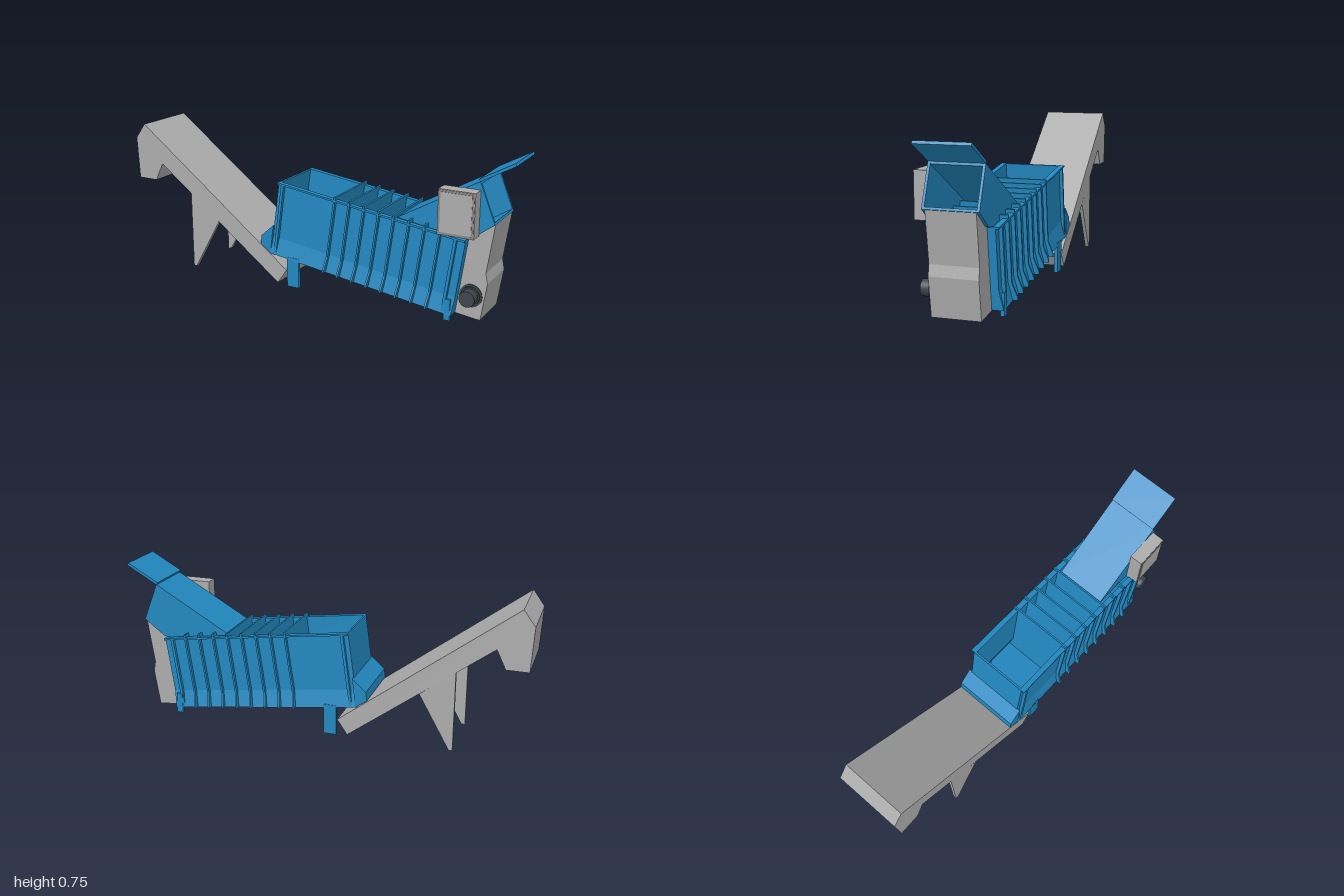
import * as THREE from 'three';

const mat = (name, color) => {
  const m = new THREE.MeshStandardMaterial({ color, side: THREE.DoubleSide });
  m.name = name;
  return m;
};

export function createModel() {
  const blue = mat('blue paint', 0x2288c0);
  const grey = mat('light grey', 0xacacac);
  const dark = mat('dark motor grey', 0x3c464c);
  const trim = mat('warm grey trim', 0x8c8480);
  const root = new THREE.Group();
  root.name = 'hopperConveyor';

  const add = (parent, name, geo, material) => {
    const m = new THREE.Mesh(geo, material);
    m.name = name;
    parent.add(m);
    return m;
  };
  const outline = (pts) => new THREE.Shape(pts.map(([x, y]) => new THREE.Vector2(x, y)));
  const extrude = (pts, depth) =>
    new THREE.ExtrudeGeometry(outline(pts), { depth, bevelEnabled: false });
  // side profile (x, y) extruded from z0 to z1
  const side = (parent, name, pts, z0, z1, material) =>
    add(parent, name, extrude(pts, z1 - z0).translate(0, 0, z0), material);
  // cross-section (z, y), symmetric about z = 0, extruded from x0 to x1
  const section = (parent, name, pts, x0, x1, material) =>
    add(parent, name, extrude(pts, x1 - x0).rotateY(Math.PI / 2).translate(x0, 0, 0), material);
  const box = (parent, name, x0, x1, y0, y1, z0, z1, material) =>
    add(parent, name, new THREE.BoxGeometry(x1 - x0, y1 - y0, z1 - z0)
      .translate((x0 + x1) / 2, (y0 + y1) / 2, (z0 + z1) / 2), material);
  // completes a right-hand half section with its mirror image
  const mirrored = (half) => [...half, ...half.map(([z, y]) => [-z, y]).reverse()];

  // ---- discharge conveyor ----
  const conveyor = new THREE.Group();
  conveyor.name = 'conveyor';
  root.add(conveyor);
  side(conveyor, 'conveyorBelt',
    [[-0.155, 0.007], [-0.105, 0.08], [-0.945, 0.715], [-1, 0.64]], -0.164, 0.162, grey);
  side(conveyor, 'dischargeHood',
    [[-1, 0.64], [-0.99, 0.43], [-0.885, 0.43], [-0.84, 0.522]], -0.164, 0.162, grey);
  for (const z of [-0.164, 0.144])
    side(conveyor, 'conveyorLeg',
      [[-0.665, 0.392], [-0.665, 0.002], [-0.648, 0.002], [-0.5, 0.264]], z, z + 0.018, grey);

  // ---- tilted trough: local x along the floor, y out of it ----
  const trough = new THREE.Group();
  trough.name = 'trough';
  trough.position.set(-0.2, 0.155, 0);
  trough.rotation.z = -0.136;
  root.add(trough);
  const L = 0.96, H = 0.364;
  const outer = [[0.165, 0], [0.147, 0.085], [0.147, H]];
  const inner = [[0.137, H], [0.137, 0.085], [0.152, 0.01]];
  section(trough, 'troughShell', mirrored([...outer, ...inner]), 0, L, blue);
  for (const x of [0, L - 0.01])
    section(trough, 'endWall', mirrored(outer), x, x + 0.01, blue);
  // top rim and end ribs
  for (const s of [-1, 1]) {
    const z0 = s > 0 ? 0.137 : -0.163, z1 = s > 0 ? 0.163 : -0.137;
    box(trough, 'topRim', 0, L, H - 0.008, H + 0.001, z0, z1, blue);
    for (const x of [0.022, 0.91])
      box(trough, 'endRib', x, x + 0.014, 0.005, H, z0, z1, blue);
  }
  // row of full-width plates whose edges stand out as fins
  const fin = mirrored([[0.187, 0.002], [0.187, 0.016], [0.164, 0.078], [0.164, 0.38]]);
  for (let i = 0; i < 8; i++) {
    const x = 0.308 + i * 0.0757;
    section(trough, 'stiffenerPlate', fin, x, x + 0.009, blue);
  }

  // ---- wedge at the low conveyor end ----
  side(root, 'outletChute',
    [[-0.178, 0.298], [-0.245, 0.237], [-0.251, 0.195], [-0.195, 0.155]], -0.164, 0.162, blue);

  // ---- support feet ----
  for (const s of [-1, 1]) {
    const z0 = s > 0 ? 0.147 : -0.165;
    box(root, 'wideFoot', -0.1, -0.036, 0, 0.15, z0, z0 + 0.017, blue);
    box(root, 'narrowFoot', 0.716, 0.746, 0, 0.1, z0, z0 + 0.017, blue);
  }

  // ---- intake hood, open on its upper end ----
  const hood = new THREE.Group();
  hood.name = 'intakeHood';
  root.add(hood);
  for (const z of [-0.125, 0.112])
    side(hood, 'hoodCheek',
      [[0.46, 0.43], [0.78, 0.38], [0.82, 0.39], [0.92, 0.465], [0.845, 0.65]], z, z + 0.012, blue);
  side(hood, 'hoodRoof',
    [[0.46, 0.43], [0.482, 0.428], [0.849, 0.638], [0.845, 0.65]], -0.125, 0.124, blue);
  side(hood, 'hoodFloor',
    [[0.79, 0.38], [0.82, 0.39], [0.92, 0.465], [0.916, 0.475], [0.79, 0.395]], -0.125, 0.124, blue);
  side(hood, 'raisedFlap',
    [[0.838, 0.66], [0.844, 0.648], [0.999, 0.735], [0.993, 0.747]], -0.125, 0.124, blue);

  // ---- grey end housing below the hood ----
  side(root, 'endHousing',
    [[0.75, 0.022], [0.87, 0.008], [0.896, 0.185], [0.886, 0.235], [0.918, 0.463],
      [0.82, 0.392], [0.795, 0.385]], -0.111, 0.109, grey);

  // ---- drive motor ----
  const motor = new THREE.Group();
  motor.name = 'driveMotor';
  motor.position.set(0.822, 0.118, 0);
  root.add(motor);
  const drum = (name, r, z0, z1) => add(motor, name,
    new THREE.CylinderGeometry(r, r, z1 - z0, 24).rotateX(Math.PI / 2)
      .translate(0, 0, (z0 + z1) / 2), dark);
  drum('motorFlange', 0.054, 0.108, 0.113);
  drum('motorCollar', 0.044, 0.113, 0.123);
  drum('motorBody', 0.037, 0.123, 0.163);

  // ---- control cabinet ----
  box(root, 'cabinet', 0.68, 0.85, 0.405, 0.612, 0.122, 0.186, grey);
  box(root, 'cabinetDoorTrim', 0.683, 0.847, 0.408, 0.609, 0.186, 0.188, trim);
  box(root, 'cabinetDoor', 0.692, 0.838, 0.418, 0.6, 0.188, 0.19, grey);

  return root;
}
